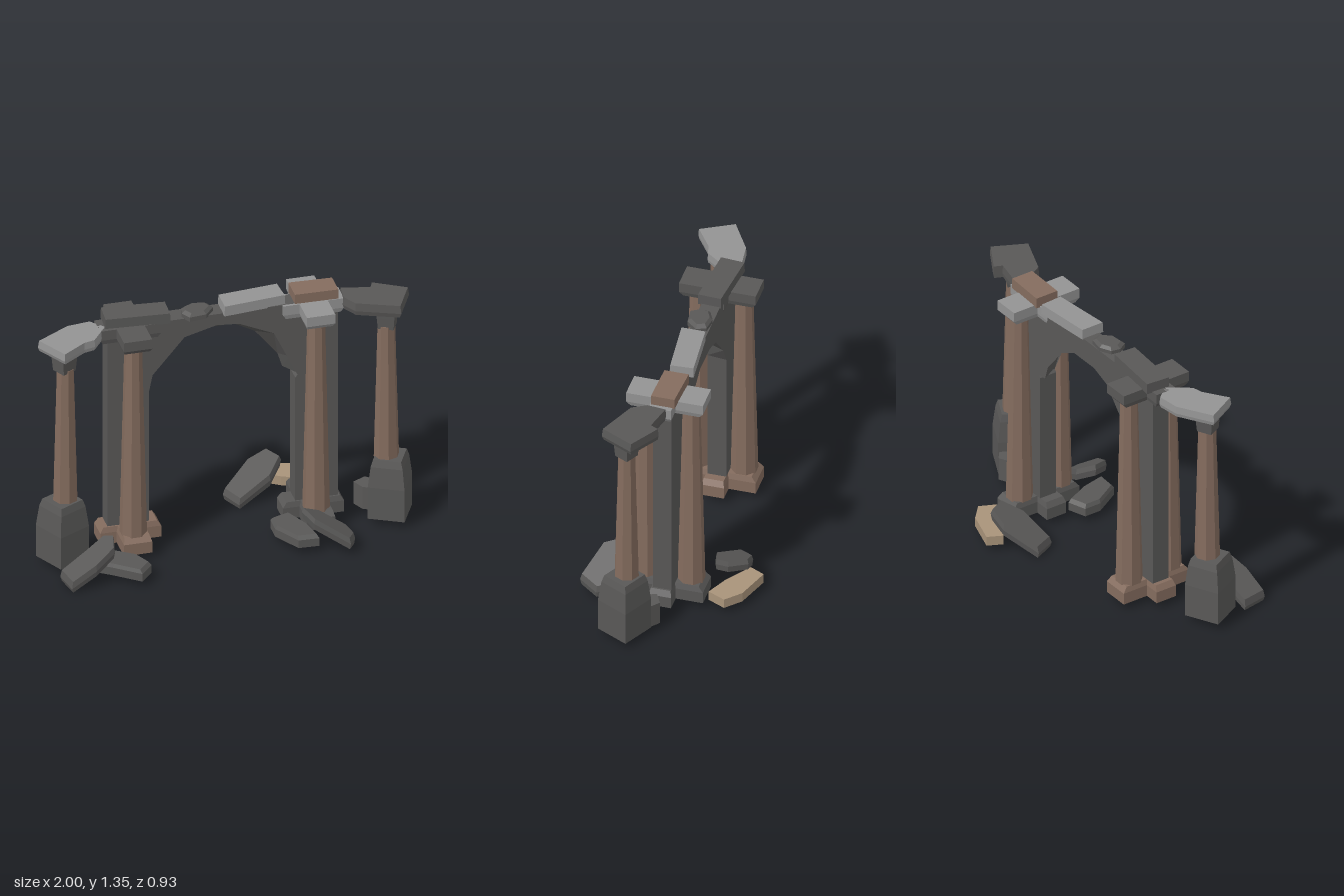
import * as THREE from 'three';

const paint = (name, color) => {
  const m = new THREE.MeshStandardMaterial({ color });
  m.name = name;
  return m;
};

// Faceted solid: an outline of [x, z] points stacked through [y, scale] levels,
// optionally tilted by a slope along x and z.
function prism(outline, levels, slopeX = 0, slopeZ = 0) {
  let pts = outline.map(([x, z]) => new THREE.Vector2(x, -z));
  if (THREE.ShapeUtils.area(pts) < 0) pts = pts.reverse();
  const n = pts.length;
  const c = new THREE.Vector2();
  pts.forEach((p) => c.addScaledVector(p, 1 / n));
  const pos = [];
  const push = (i, [y, s]) => {
    const dx = (pts[i].x - c.x) * s;
    const dz = -(pts[i].y - c.y) * s;
    pos.push(c.x + dx, Math.max(0, y + dx * slopeX + dz * slopeZ), dz - c.y);
  };
  for (let k = 0; k < levels.length - 1; k++) {
    const a = levels[k], b = levels[k + 1];
    for (let i = 0; i < n; i++) {
      const j = (i + 1) % n;
      push(i, a); push(j, a); push(j, b);
      push(i, a); push(j, b); push(i, b);
    }
  }
  const top = levels[levels.length - 1];
  for (const [i, j, k] of THREE.ShapeUtils.triangulateShape(pts, [])) {
    push(i, top); push(j, top); push(k, top);
    push(i, levels[0]); push(k, levels[0]); push(j, levels[0]);
  }
  const g = new THREE.BufferGeometry();
  g.setAttribute('position', new THREE.Float32BufferAttribute(pos, 3));
  g.computeVertexNormals();
  return g;
}

// Regular polygon outline with flat-to-flat half width r, turned by an angle.
function polygon(sides, r, cx, cz, turn = 0) {
  const R = r / Math.cos(Math.PI / sides);
  return Array.from({ length: sides }, (_, i) => {
    const a = turn + ((i + 0.5) / sides) * Math.PI * 2;
    return [cx + R * Math.cos(a), cz + R * Math.sin(a)];
  });
}

// Plus-shaped outline used by the pier plinths and capitals.
function cross(cx, cz) {
  const w = 0.075, d = 0.06, X = 0.162, Z = 0.205;
  return [[-w, -Z], [w, -Z], [w, -d], [X, -d], [X, d], [w, d],
    [w, Z], [-w, Z], [-w, d], [-X, d], [-X, -d], [-w, -d]].map(([x, z]) => [cx + x, cz + z]);
}

// Arched wall: the opening is wider at the front than at the back.
function archWall() {
  const back = [[-0.39, 0.13], [-0.39, 0.88], [-0.335, 0.98], [-0.2, 1.13], [-0.09, 1.17], [0.09, 1.17],
    [0.2, 1.11], [0.32, 0.96], [0.345, 0.88], [0.4, 0.875], [0.388, 0.86], [0.388, 0.13]];
  const front = [[-0.39, 0.13], [-0.39, 0.89], [-0.37, 0.99], [-0.2, 1.19], [-0.03, 1.235], [0.09, 1.225],
    [0.275, 1.14], [0.36, 0.99], [0.395, 0.89], [0.4, 0.875], [0.388, 0.86], [0.388, 0.13]];
  const outer = [[0.615, 0.13], [0.615, 1.3], [-0.61, 1.3], [-0.61, 0.13]];
  const shape = new THREE.Shape([...back, ...outer].map(([x, y]) => new THREE.Vector2(x, y)));
  let g = new THREE.ExtrudeGeometry(shape, { depth: 0.1, bevelEnabled: false });
  const p = g.attributes.position;
  for (let i = 0; i < p.count; i++) {
    if (p.getZ(i) < 0.05) continue;
    const k = back.findIndex(([x, y]) => Math.hypot(x - p.getX(i), y - p.getY(i)) < 1e-4);
    if (k >= 0) p.setXY(i, front[k][0], front[k][1]);
  }
  g.translate(0, 0, -0.07);
  if (g.index) g = g.toNonIndexed();
  g.computeVertexNormals();
  return g;
}

export function createModel() {
  const dark = paint('dark stone', 0x595857);
  const light = paint('light stone', 0x939393);
  const brown = paint('brown stone', 0x846c5e);
  const tan = paint('tan stone', 0xa8937a);

  const model = new THREE.Group();
  model.name = 'ruinedArch';
  const add = (name, geometry, material) => {
    const mesh = new THREE.Mesh(geometry, material);
    mesh.name = name;
    model.add(mesh);
  };

  add('archWall', archWall(), dark);

  // Piers: plinth, capital and a column before and behind the wall
  for (const [side, cx, plinth, capital] of [['right', -0.49, brown, dark], ['left', 0.482, dark, light]]) {
    add(side + 'Plinth', prism(cross(cx, -0.015), [[0.035, 1], [0.1, 1], [0.13, 0.88]]), plinth);
    add(side + 'Capital', prism(cross(cx, -0.015), [[1.22, 0.9], [1.245, 1], [1.3, 1]]), capital);
    for (const [place, z] of [['Front', 0.107], ['Back', -0.137]]) {
      add(side + place + 'Column',
        prism(polygon(8, 0.066, cx - 0.004, z), [[0.125, 1], [1.225, 0.65]]), brown);
    }
  }

  // Outer pillars, turned inward
  for (const [side, s] of [['right', -1], ['left', 1]]) {
    const turn = s * 0.47;
    const square = (r, x, z) => polygon(4, r, s * x, z, turn);
    add(side + 'PillarBase',
      prism(square(0.0965, 0.87, 0.107), [[0.035, 1], [0.22, 1], [0.335, 0.87], [0.375, 0.76]]), dark);
    add(side + 'Pillar',
      prism(polygon(8, 0.061, s * 0.853, 0.1, turn), [[0.37, 1], [1.15, 0.7]]), brown);
    add(side + 'PillarCapital',
      prism(square(0.05, 0.858, 0.1), [[1.135, 0.82], [1.2, 0.92], [1.26, 1]]), dark);
  }
  add('pillarStep', prism([[0.71, -0.02], [0.78, -0.055], [0.87, 0.02], [0.82, 0.09], [0.74, 0.045]],
    [[0.035, 1], [0.165, 1]]), dark);

  // Bent lintels joining the outer pillars to the wall
  add('rightLintel', prism([[-0.985, 0.05], [-0.8, -0.06], [-0.675, -0.075], [-0.61, 0],
    [-0.7, 0.12], [-0.76, 0.135], [-0.89, 0.225]], [[1.24, 0.96], [1.26, 1], [1.3, 0.97]]), light);
  add('leftLintel', prism([[0.645, -0.05], [0.8, -0.015], [0.82, -0.06], [0.99, 0.04],
    [0.9, 0.22], [0.68, 0.13], [0.635, 0.05]], [[1.24, 0.95], [1.265, 1], [1.31, 0.97]]), dark);

  // Loose blocks along the top of the wall
  add('topSlabDark', prism([[-0.61, -0.105], [-0.275, -0.075], [-0.28, 0.05], [-0.62, 0.025]],
    [[1.295, 1], [1.354, 0.99]]), dark);
  add('topRock', prism([[-0.2, -0.04], [-0.14, -0.07], [-0.06, -0.06], [-0.038, -0.01],
    [-0.09, 0.05], [-0.18, 0.06], [-0.21, 0.01]], [[1.295, 1], [1.32, 1], [1.335, 0.75]]), dark);
  add('topSlabLight', prism([[0.005, -0.075], [0.33, -0.105], [0.338, 0.02], [0.005, 0.055]],
    [[1.295, 1], [1.352, 0.98]]), light);
  add('topBlockBrown', prism([[0.385, -0.095], [0.615, -0.085], [0.615, 0.04], [0.385, 0.035]],
    [[1.295, 1], [1.354, 1]]), brown);

  // Fallen rubble
  add('rubbleRightLeaning', prism([[-0.93, 0.285], [-0.79, 0.255], [-0.68, 0.225], [-0.64, 0.27],
    [-0.66, 0.36], [-0.77, 0.41], [-0.905, 0.425]], [[0.08, 0.95], [0.11, 1], [0.145, 0.95]], 0.55, -0.1), dark);
  add('rubbleRightFlat', prism([[-0.68, 0.18], [-0.52, 0.28], [-0.47, 0.38], [-0.54, 0.46],
    [-0.67, 0.365], [-0.77, 0.3]], [[0.035, 1], [0.08, 1], [0.1, 0.88]], -0.03), dark);
  add('rubbleLeftFlat', prism([[0.235, 0.105], [0.335, 0.07], [0.4, 0.21], [0.43, 0.35],
    [0.32, 0.345], [0.235, 0.2]], [[0.035, 1], [0.08, 1], [0.1, 0.88]]), dark);
  add('rubbleLeftLeaning', prism([[0.36, 0.26], [0.46, 0.205], [0.6, 0.255], [0.625, 0.33],
    [0.575, 0.43], [0.4, 0.355]], [[0.075, 0.95], [0.11, 1], [0.14, 0.93]], -0.6), dark);
  add('rubbleBackLeaning', prism([[0.09, -0.29], [0.25, -0.4], [0.355, -0.405], [0.405, -0.31],
    [0.325, -0.22], [0.145, -0.17]], [[0.075, 0.95], [0.11, 1], [0.14, 0.93]], 0.45, -0.25), dark);
  add('rubbleBackTan', prism([[0.3, -0.47], [0.485, -0.41], [0.565, -0.335], [0.52, -0.24],
    [0.4, -0.295], [0.26, -0.39]], [[0.035, 1], [0.088, 1]]), tan);

  return model;
}
